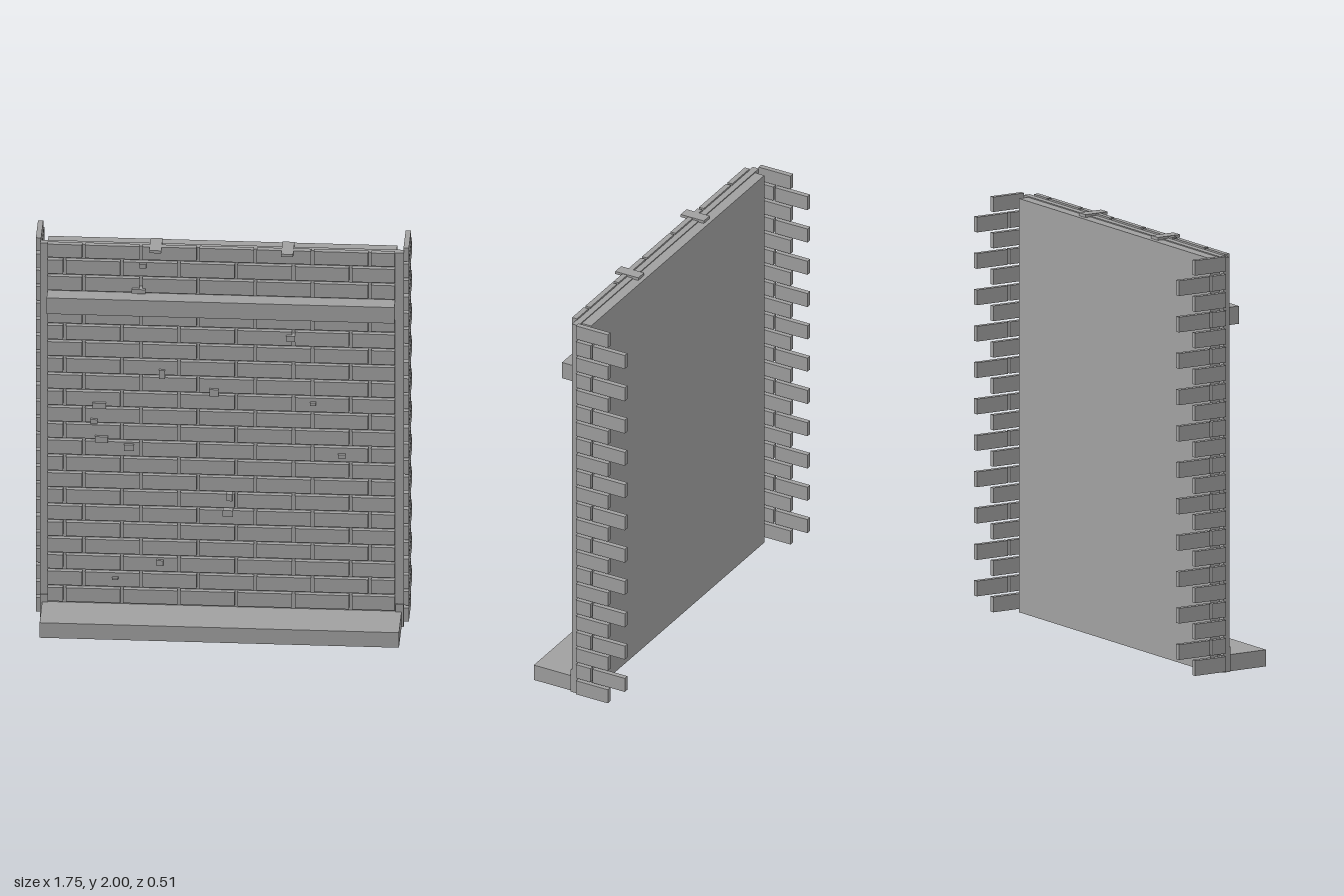
import * as THREE from 'three';

const stone = new THREE.MeshStandardMaterial({ color: 0xa0a0a0 });
stone.name = 'grey stone';

// Box given by its minimum and maximum along each axis
function block(parent, name, x0, x1, y0, y1, z0, z1) {
  const mesh = new THREE.Mesh(new THREE.BoxGeometry(x1 - x0, y1 - y0, z1 - z0), stone);
  mesh.position.set((x0 + x1) / 2, (y0 + y1) / 2, (z0 + z1) / 2);
  mesh.name = name;
  parent.add(mesh);
}

function subgroup(parent, name) {
  const g = new THREE.Group();
  g.name = name;
  parent.add(g);
  return g;
}

export function createModel() {
  const model = new THREE.Group();
  model.name = 'brickWallPanel';

  // Wall core, mortar sheet, base ledge and string course
  block(model, 'wallCore', -0.82, 0.82, 0, 1.985, -0.04, 0.02);
  block(model, 'mortarSheet', -0.855, 0.855, 0, 1.99, 0.01, 0.043);
  block(model, 'baseLedge', -0.845, 0.845, 0, 0.08, 0, 0.255);
  block(model, 'stringCourse', -0.82, 0.815, 1.655, 1.74, 0.03, 0.12);

  const rows = 23, pitch = 0.0873, height = 0.073;
  const rowBottom = (k) => 0.008 + k * pitch;

  // Face bricks in running bond
  const bricks = subgroup(model, 'faceBricks');
  const gap = 0.014, length = 0.269;
  for (let k = 1; k < rows; k++) {
    const y0 = rowBottom(k), y1 = Math.min(y0 + height, 1.998);
    const first = k % 2 ? -0.739 : -0.649;
    const edges = [-0.82 - gap / 2];
    for (let i = 0; i < 6; i++) edges.push(first + i * length);
    edges.push(0.814 + gap / 2);
    for (let i = 0; i < edges.length - 1; i++) {
      block(bricks, 'brick', edges[i] + gap / 2, edges[i + 1] - gap / 2, y0, y1, 0.04, 0.066);
    }
  }

  // Corner bricks returning backwards, alternating short and long rows
  for (const side of [-1, 1]) {
    const corner = subgroup(model, side > 0 ? 'leftCornerBricks' : 'rightCornerBricks');
    const x0 = side > 0 ? 0.852 : -0.877, x1 = x0 + 0.025;
    for (let k = 0; k < rows; k++) {
      const y0 = rowBottom(k), y1 = Math.min(y0 + height, 2);
      if (k % 2) {
        block(corner, 'cornerBrick', x0, x1, y0, y1, -0.07, 0.01);
        block(corner, 'cornerBrick', x0, x1, y0, y1, -0.255, -0.08);
      } else {
        block(corner, 'cornerBrick', x0, x1, y0, y1, -0.163, 0.01);
      }
    }
    // Foot tab beside the ledge and clamp over the wall top
    block(model, 'footTab', side * 0.836 - 0.019, side * 0.836 + 0.019, 0, 0.12, 0.03, 0.05);
    block(model, 'topClamp', side * 0.31 - 0.028, side * 0.31 + 0.028, 1.986, 2, -0.02, 0.105);
  }

  // Small raised chips on the brick face: x, y, width, height
  const chips = [
    [-0.39, 1.765, 0.064, 0.022], [-0.37, 1.9, 0.032, 0.022], [0.325, 1.535, 0.042, 0.028],
    [-0.28, 1.325, 0.028, 0.045], [-0.035, 1.235, 0.042, 0.037], [0.43, 1.19, 0.026, 0.016],
    [-0.575, 1.15, 0.064, 0.028], [-0.6, 1.065, 0.032, 0.022], [-0.565, 0.97, 0.06, 0.032],
    [-0.435, 0.93, 0.048, 0.032], [0.565, 0.915, 0.036, 0.02], [0.037, 0.68, 0.027, 0.037],
    [0.03, 0.595, 0.048, 0.032], [-0.29, 0.32, 0.032, 0.028], [-0.5, 0.23, 0.028, 0.012],
  ];
  const chipGroup = subgroup(model, 'brickChips');
  for (const [x, y, w, h] of chips) {
    block(chipGroup, 'chip', x - w / 2, x + w / 2, y - h / 2, y + h / 2, 0.045, 0.08);
  }
  return model;
}
